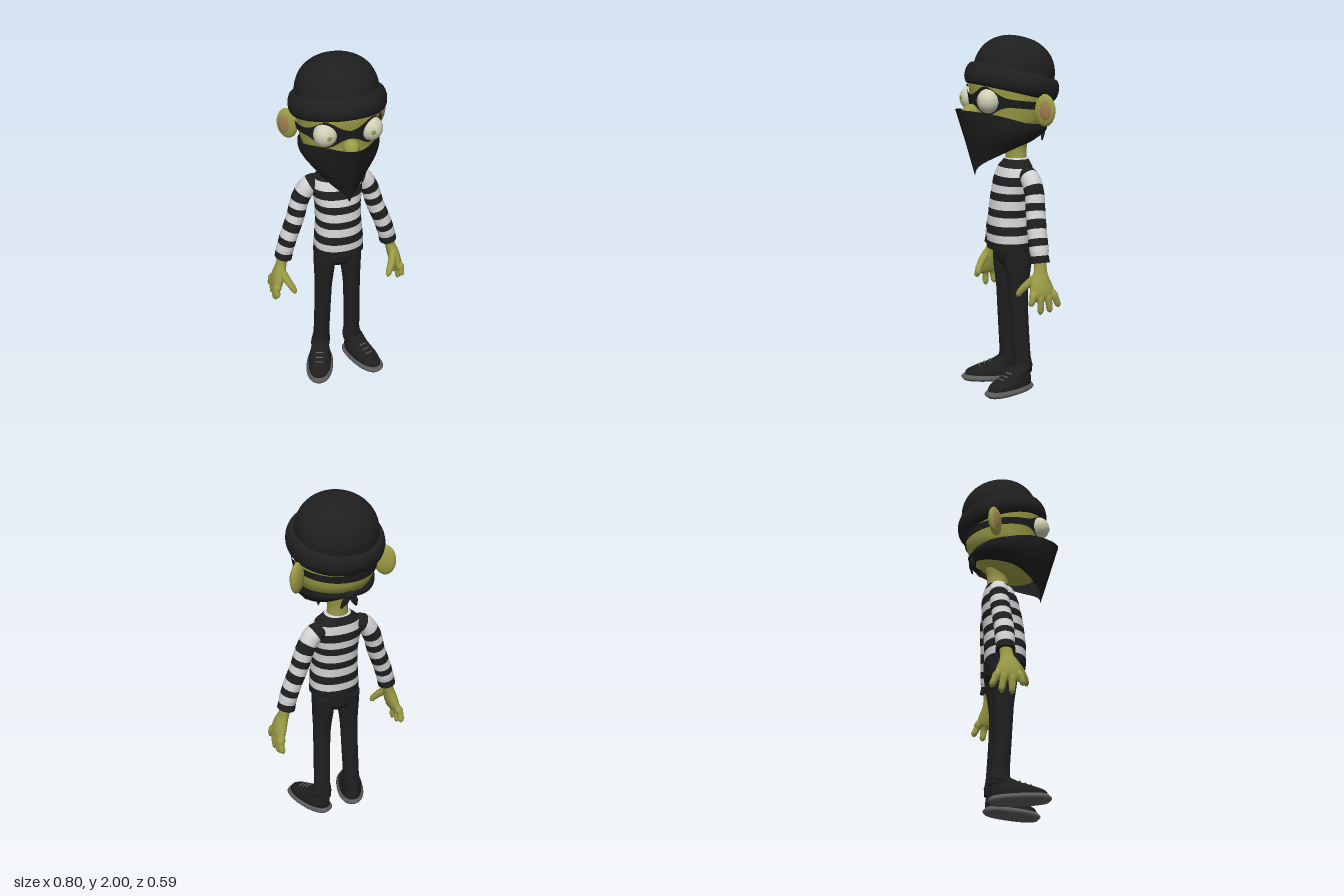
import * as THREE from 'three';

const mat = (name, color, side = THREE.FrontSide) => {
  const m = new THREE.MeshStandardMaterial({ color, side });
  m.name = name;
  return m;
};

// Skin a list of rings (arrays of Vector3) into a closed tube; matOf picks a material per row
function skin(rings, capped = true, matOf = () => 0) {
  const n = rings[0].length, pos = [], buckets = [[], []];
  rings.forEach(r => r.forEach(p => pos.push(p.x, p.y, p.z)));
  for (let i = 0; i < rings.length - 1; i++) {
    const idx = buckets[matOf(i)];
    for (let j = 0; j < n; j++) {
      const k = (j + 1) % n, a = i * n + j, b = i * n + k;
      idx.push(a, b, b + n, a, b + n, a + n);
    }
  }
  if (capped) [0, rings.length - 1].forEach(i => {
    const base = pos.length / 3, c = new THREE.Vector3();
    rings[i].forEach(p => { pos.push(p.x, p.y, p.z); c.addScaledVector(p, 1 / n); });
    pos.push(c.x, c.y, c.z);
    const idx = buckets[matOf(Math.max(0, i - 1))];
    for (let j = 0; j < n; j++) {
      const k = (j + 1) % n;
      if (i) idx.push(base + j, base + k, base + n); else idx.push(base + k, base + j, base + n);
    }
  });
  const g = new THREE.BufferGeometry();
  g.setAttribute('position', new THREE.Float32BufferAttribute(pos, 3));
  g.setIndex([...buckets[0], ...buckets[1]]);
  g.addGroup(0, buckets[0].length, 0);
  if (buckets[1].length) g.addGroup(buckets[0].length, buckets[1].length, 1);
  g.computeVertexNormals();
  return g;
}

// Smooth limb through keys [x, y, z, radius across, radius in z]
function limb(keys, { s = 1, rows = 20, seg = 24, flat = false, power = 1, stripe = null } = {}) {
  const path = new THREE.CatmullRomCurve3(keys.map(k => new THREE.Vector3(k[0] * s, k[1], k[2])));
  const radii = new THREE.CatmullRomCurve3(keys.map(k => new THREE.Vector3(k[3], k[4], 0)));
  const rings = [], ys = [];
  const pw = v => Math.sign(v) * Math.abs(v) ** power;
  for (let i = 0; i <= rows; i++) {
    const t = i / rows, c = path.getPoint(t), r = radii.getPoint(t);
    const D = flat ? new THREE.Vector3(0, 1, 0) : path.getTangent(t);
    const U = new THREE.Vector3(0, 0, 1).addScaledVector(D, -D.z).normalize();
    const V = new THREE.Vector3().crossVectors(D, U);
    ys.push(c.y);
    rings.push(Array.from({ length: seg }, (_, j) => {
      const a = j / seg * Math.PI * 2;
      return c.clone().addScaledVector(U, pw(Math.cos(a)) * r.y).addScaledVector(V, pw(Math.sin(a)) * r.x);
    }));
  }
  return skin(rings, true, stripe ? i => stripe((ys[i] + ys[i + 1]) / 2) : undefined);
}

// Cloth wrapped around the head: f(angle, v) with v from bottom (0) to top (1)
function wrap(f, rows, seg) {
  return skin(Array.from({ length: rows + 1 }, (_, i) => Array.from({ length: seg }, (_, j) => {
    let a = j / seg * Math.PI * 2;
    if (a > Math.PI) a -= Math.PI * 2;
    return new THREE.Vector3(...f(a, i / rows));
  })), false);
}

export function createModel() {
  const model = new THREE.Group();
  const black = mat('black cloth', 0x1f1f1f), cloth = mat('black mask cloth', 0x1c1c1c, THREE.DoubleSide);
  const green = mat('skin', 0x9a9b45), white = mat('white stripe', 0xd2d2d4);
  const eyeWhite = mat('eye', 0xcfd0b4), pink = mat('inner ear', 0x9c7d50), grey = mat('sole grey', 0x5c5c5c);
  const add = (name, geo, material, parent = model) => {
    const m = new THREE.Mesh(geo, material);
    m.name = name;
    parent.add(m);
    return m;
  };
  const ball = (name, material, p, sc, parent = model) => {
    const m = add(name, new THREE.SphereGeometry(1, 28, 20), material, parent);
    m.position.set(...p);
    m.scale.set(...sc);
    return m;
  };
  const frac = v => v - Math.floor(v);
  const bands = (centre, period) => y => frac((y - centre) / period + 0.25) < 0.5 ? 0 : 1;

  // Striped sweater, neck and hips
  add('sweater', limb([[0, .81, -.015, .143, .113], [0, .9, -.015, .14, .117], [0, 1, -.02, .131, .115],
    [0, 1.1, -.03, .13, .113], [0, 1.2, -.045, .143, .105], [0, 1.27, -.055, .13, .088], [0, 1.31, -.06, .085, .068],
    [0, 1.325, -.06, .066, .062]], { rows: 84, seg: 40, flat: true, power: .9, stripe: bands(.835, .092) }), [black, white]);
  add('neck', limb([[0, 1.28, -.06, .063, .06], [0, 1.36, -.06, .056, .06], [0, 1.44, -.05, .075, .08], [0, 1.5, -.04, .1, .1]], { flat: true }), green);
  add('hips', limb([[0, .71, -.04, .07, .06], [0, .75, -.04, .125, .09], [0, .84, -.035, .135, .1]], { flat: true, seg: 32 }), black);

  // Head, nose
  add('head', limb([[0, 1.37, .04, .06, .08], [0, 1.4, .04, .12, .13], [0, 1.47, .01, .175, .18], [0, 1.55, -.025, .207, .207],
    [0, 1.65, -.025, .222, .222], [0, 1.75, -.025, .232, .232], [0, 1.85, -.035, .18, .18], [0, 1.9, -.04, .1, .1]],
  { rows: 36, seg: 40, flat: true }), green);
  ball('nose', green, [0, 1.585, .215], [.045, .045, .05]);

  // Neckerchief over the lower face, pointed at the front
  add('neckerchief', wrap((a, v) => {
    const c = Math.cos(a), sn = Math.sin(a), q = Math.abs(a) / (Math.PI / 2);
    const peak = Math.max(0, c) ** 6, bulge = .026 * Math.sin(Math.PI * v) * (1 - peak);
    const top = 1.535 + (c > 0 ? .07 : .02) * c;
    const bottom = q < 1 ? 1.235 + .165 * q ** .6 : 1.4 + .075 * (q - 1);
    const mix = (p, r) => p + (r - p) * v;
    return [sn * (mix(.15, .221) + bulge), mix(bottom, top),
      mix(0, -.02) + c * (mix(c > 0 ? .15 : .185, c > 0 ? .235 : .195) + bulge) + peak * mix(.04, .085)];
  }, 14, 72), cloth);
  ball('neckerchiefKnot', black, [0, 1.495, -.21], [.03, .022, .022]);

  // Eye mask with strap
  add('eyeMask', wrap((a, v) => {
    const half = .021 + .058 * Math.exp(-(((Math.abs(a) - .55) / .32) ** 2));
    const y = 1.633 + .025 * Math.cos(a) + half * (2 * v - 1);
    const r = .227 + (y - 1.6) * .12;
    return [Math.sin(a) * r, y, -.025 + Math.cos(a) * r];
  }, 8, 72), cloth);

  // Knitted hat, tilted back
  const hat = new THREE.Group();
  hat.name = 'hat';
  hat.position.set(0, 1.69, -.02);
  hat.rotation.x = -.24;
  model.add(hat);
  const lathe = pts => new THREE.LatheGeometry(
    new THREE.SplineCurve(pts.map(p => new THREE.Vector2(...p))).getPoints(28), 48);
  add('hatBrim', lathe([[.2, .012], [.238, -.004], [.26, .02], [.266, .06], [.256, .1], [.238, .118], [.21, .115]]), black, hat);
  add('hatDome', lathe([[.228, .1], [.222, .16], [.195, .222], [.148, .27], [.08, .302], [0, .312]]), black, hat);

  for (const s of [1, -1]) {
    const side = s > 0 ? 'left' : 'right';
    const part = (name, geo, material) => add(side + name, geo, material);
    // Eyes
    ball(side + 'Eye', eyeWhite, [s * .125, 1.655, .162], [.064, .067, .062]);
    ball(side + 'Pupil', green, [s * .12, 1.658, .222], [.013, .013, .005]);
    // Ears
    const ear = new THREE.Group();
    ear.name = side + 'Ear';
    ear.position.set(s * .257, 1.605, -.112);
    ear.rotation.y = s * .66;
    model.add(ear);
    ball('earShell', green, [0, 0, 0], [.062, .088, .027], ear);
    ball('innerEar', pink, [s * .008, 0, .013], [.04, .06, .017], ear);
    // Kerchief tails
    part('KerchiefTail', limb([[0, 1.5, -.21, .012, .012], [.025, 1.465, -.215, .02, .01], [.045, 1.42, -.2, .006, .005]], { s, rows: 8, seg: 10 }), black);

    // Striped sleeve
    part('Sleeve', limb([[.09, 1.24, -.07, .045, .05], [.15, 1.222, -.075, .054, .055], [.2, 1.15, -.078, .052, .055],
      [.237, 1.03, -.07, .051, .055], [.275, .93, -.062, .05, .055], [.303, .84, -.06, .05, .054], [.316, .78, -.06, .05, .054]],
    { s, rows: 72, stripe: bands(.798, .09) }), [black, white]);

    // Hand, fingers and thumb
    part('Palm', limb([[.316, .8, -.06, .03, .034], [.33, .74, -.055, .03, .037], [.348, .68, -.048, .034, .06],
      [.362, .63, -.05, .032, .071], [.368, .6, -.052, .025, .066], [.37, .585, -.054, .01, .05]], { s }), green);
    [[0, .027, .56], [-.034, -.034, .507], [-.073, -.092, .513], [-.102, -.146, .54]].forEach(([z0, z1, y1], i) => {
      const y = f => .635 + (y1 - .635) * f, z = f => z0 + (z1 - z0) * f;
      part('Finger' + (i + 1), limb([[.363, y(0), z(0), .019, .019], [.378, y(.45), z(.45), .019, .019],
        [.376, y(.85), z(.85), .017, .017], [.371, y(1), z(1), .004, .004]], { s, rows: 12, seg: 12 }), green);
    });
    part('Thumb', limb([[.34, .715, -.03, .022, .024], [.318, .67, .015, .022, .023], [.294, .63, .046, .019, .019],
      [.283, .607, .056, .015, .015], [.279, .596, .06, .004, .004]], { s, rows: 14, seg: 12 }), green);

    // Trouser leg
    part('TrouserLeg', limb([[.075, .8, -.04, .064, .088], [.079, .7, -.036, .06, .076], [.086, .55, -.036, .05, .055],
      [.09, .4, -.042, .048, .052], [.095, .2, -.054, .047, .051], [.096, .14, -.058, .054, .056], [.097, .1, -.06, .05, .055]],
    { s, rows: 32 }), black);

    // Shoe with sole and laces, toes turned out
    const shoe = new THREE.Group();
    shoe.name = side + 'Shoe';
    shoe.position.set(s * .1, 0, -.06);
    shoe.rotation.y = s * .33;
    model.add(shoe);
    add('sole', limb([[0, 0, .108, .062, .154], [0, .006, .108, .068, .158], [0, .03, .108, .068, .158], [0, .036, .108, .066, .155]],
      { rows: 8, seg: 40, flat: true, power: .85 }), grey, shoe);
    add('upper', limb([[0, .03, .106, .066, .153], [0, .055, .1, .067, .149], [0, .08, .076, .06, .121], [0, .105, .042, .054, .084],
      [0, .13, .012, .055, .062], [0, .145, 0, .05, .055]], { rows: 20, seg: 40, flat: true, power: .9 }), black, shoe);
    [[.089, .172], [.1, .142], [.113, .112]].forEach(([y, z]) => {
      const lace = add('lace', new THREE.CapsuleGeometry(.004, .04, 4, 8), grey, shoe);
      lace.position.set(0, y, z);
      lace.rotation.z = Math.PI / 2;
    });
  }
  return model;
}
